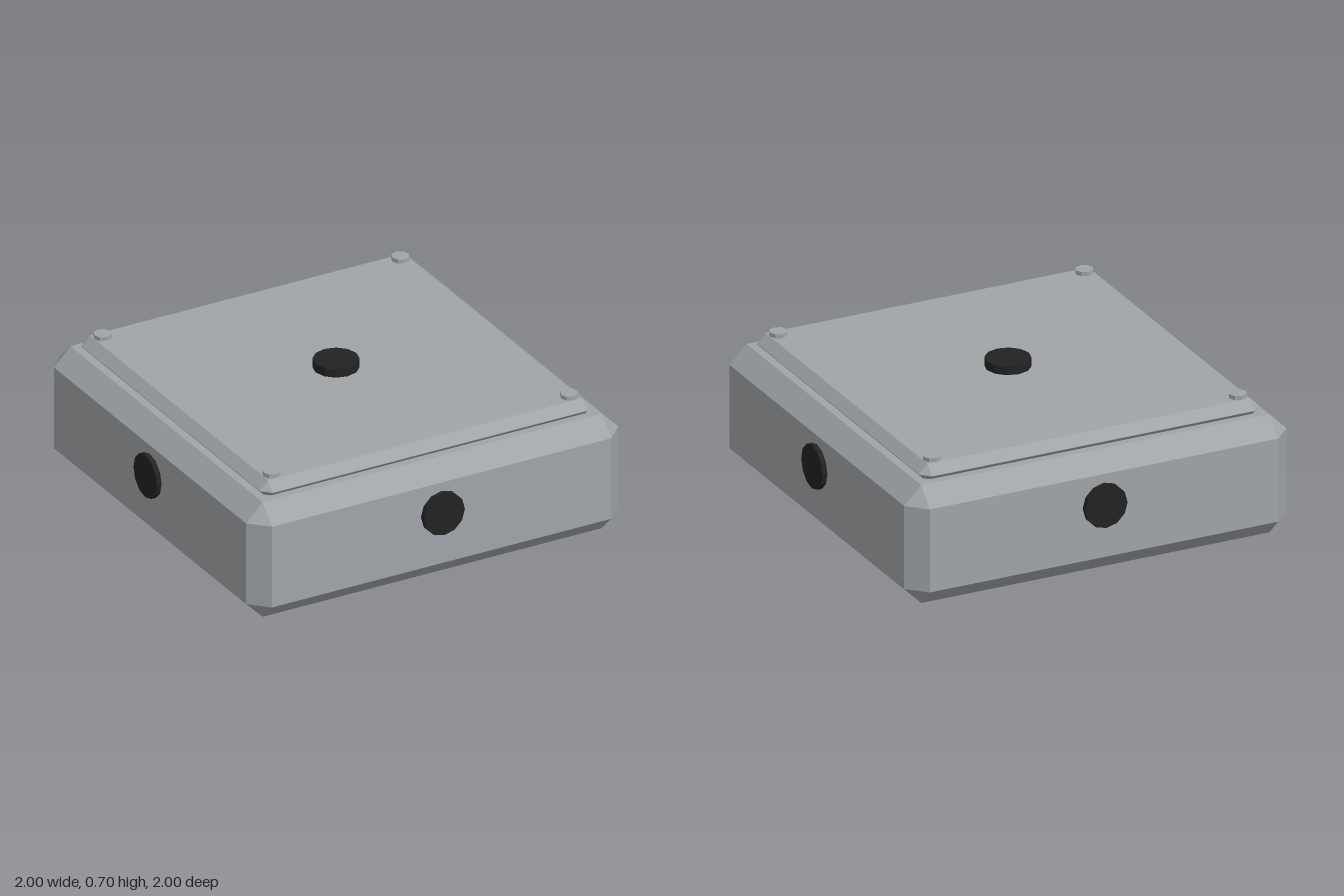
import * as THREE from 'three';
import { ConvexGeometry } from 'three/addons/geometries/ConvexGeometry.js';

// Box with every edge cut at 45 degrees and triangular corner facets
function chamferedBox(half, bottom, top, cut) {
  const points = [];
  const mid = (bottom + top) / 2, h = (top - bottom) / 2;
  for (const sx of [-1, 1]) for (const sy of [-1, 1]) for (const sz of [-1, 1]) {
    points.push(
      new THREE.Vector3(sx * half, mid + sy * (h - cut), sz * (half - cut)),
      new THREE.Vector3(sx * (half - cut), mid + sy * h, sz * (half - cut)),
      new THREE.Vector3(sx * (half - cut), mid + sy * (h - cut), sz * half)
    );
  }
  return new ConvexGeometry(points);
}

export function createModel() {
  const model = new THREE.Group();
  model.name = 'junctionBox';
  const grey = new THREE.MeshStandardMaterial({ name: 'grey casing', color: 0xa0a4a8, flatShading: true });
  const black = new THREE.MeshStandardMaterial({ name: 'black plug', color: 0x222222, flatShading: true });

  const add = (name, geometry, material, x = 0, y = 0, z = 0) => {
    const mesh = new THREE.Mesh(geometry, material);
    mesh.name = name;
    mesh.position.set(x, y, z);
    model.add(mesh);
    return mesh;
  };

  // Casing and the lid sunk slightly into it
  add('casing', chamferedBox(0.975, 0, 0.588, 0.087), grey);
  add('lid', chamferedBox(0.867, 0.564, 0.655, 0.044), grey);

  // Lid bolts
  const bolt = new THREE.CylinderGeometry(0.043, 0.043, 0.04, 8);
  for (const x of [-0.78, 0.78]) for (const z of [-0.78, 0.78]) {
    add('lidBolt', bolt, grey, x, 0.655, z);
  }

  // Round plugs: one on the lid, one on each side
  const plug = new THREE.CylinderGeometry(0.108, 0.108, 0.08, 12);
  add('topPlug', plug, black, 0, 0.658, 0);
  add('frontPlug', plug, black, 0, 0.35, 0.96).rotation.x = Math.PI / 2;
  add('backPlug', plug, black, 0, 0.35, -0.96).rotation.x = -Math.PI / 2;
  add('leftPlug', plug, black, 0.96, 0.35, 0).rotation.z = -Math.PI / 2;
  add('rightPlug', plug, black, -0.96, 0.35, 0).rotation.z = Math.PI / 2;

  return model;
}
